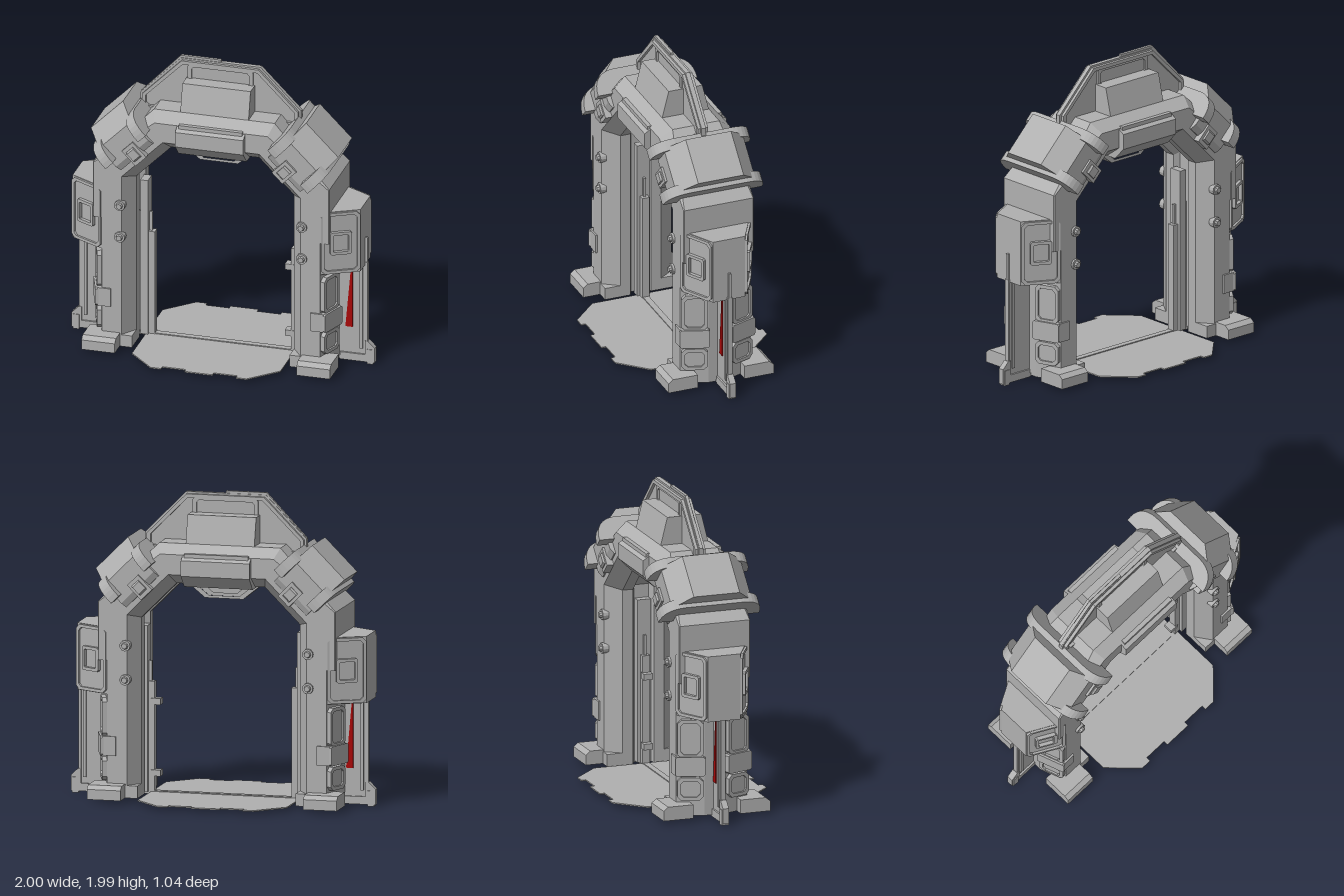
import * as THREE from 'three';

const grey = new THREE.MeshStandardMaterial({ color: 0xb0b0b0 });
grey.name = 'grey metal';
const red = new THREE.MeshStandardMaterial({ color: 0xa80808 });
red.name = 'red paint';

const ALL = [[1, 1], [-1, 1], [1, -1], [-1, -1]];
const SIDES = [[1, 1], [-1, 1]];
const FACES = [[1, 1], [1, -1]];
const ONE = [[1, 1]];
const TURNED = [[1, 1], [-1, -1]];

// Flat shaded copy, reflected in x and/or z with its winding kept outward
function mirrored(geo, sx, sz) {
  const g = geo.index ? geo.toNonIndexed() : geo.clone();
  g.scale(sx, 1, sz);
  const p = g.attributes.position;
  if (sx * sz < 0) {
    const a = new THREE.Vector3(), b = new THREE.Vector3();
    for (let i = 0; i < p.count; i += 3) {
      a.fromBufferAttribute(p, i + 1);
      b.fromBufferAttribute(p, i + 2);
      p.setXYZ(i + 1, b.x, b.y, b.z);
      p.setXYZ(i + 2, a.x, a.y, a.z);
    }
  }
  g.computeVertexNormals();
  return g;
}

const toShape = pts => new THREE.Shape(pts.map(p => new THREE.Vector2(p[0], p[1])));
const symmetric = pts => [...pts, ...pts.map(([x, y]) => [-x, y]).reverse()];

// Plate cut from an outline, centred on z = 0
function plate(outline, depth, hole) {
  const s = Array.isArray(outline) ? toShape(outline) : outline;
  if (hole) s.holes.push(toShape(hole));
  const g = new THREE.ExtrudeGeometry(s, { depth, bevelEnabled: false, curveSegments: 8 });
  return g.translate(0, 0, -depth / 2);
}

const box = (x0, x1, y0, y1, z0, z1) =>
  new THREE.BoxGeometry(x1 - x0, y1 - y0, z1 - z0).translate((x0 + x1) / 2, (y0 + y1) / 2, (z0 + z1) / 2);

// Rectangle with cut corners
function cutRect(w, h, c) {
  const x = w / 2, y = h / 2;
  return [[-x + c, -y], [x - c, -y], [x, -y + c], [x, y - c], [x - c, y], [-x + c, y], [-x, y - c], [-x, -y + c]];
}

// Arch: one cross-section swept along the mitred path
function archGeometry() {
  const ring = (a, b) => {
    const h = [[0.04, 0], [0.04, 0.05], [0, 0.07], [0, 0.14], [0.07, 0.24], a, b];
    return [...h, ...h.slice(1).reverse().map(([d, z]) => [d, -z])];
  };
  const low = ring([0.2, 0.24], [0.26, 0.07]);
  const high = ring([0.255, 0.24], [0.26, 0.235]);
  const top = ring([0.2, 0.24], [0.26, 0.16]);
  const side = [
    [low, d => [0.52 + d, 0.02]],
    [low, d => [0.52 + d, 0.9]],
    [high, d => [0.52 + d, 0.9]],
    [high, d => [0.52 + d, 1.17 + 0.414 * d]],
    [top, d => [0.29 + 0.414 * d, 1.4 + d]],
  ];
  const rows = side.map(([r, f]) => r.map(([d, z]) => [...f(d), z]));
  rows.push(...rows.slice().reverse().map(r => r.map(([x, y, z]) => [-x, y, z])));
  const n = low.length, idx = [];
  for (let i = 0; i < rows.length - 1; i++) {
    for (let j = 0; j < n; j++) {
      const a = i * n + j, b = i * n + (j + 1) % n, c = a + n, d = b + n;
      idx.push(a, b, d, a, d, c);
    }
  }
  const g = new THREE.BufferGeometry();
  g.setAttribute('position', new THREE.Float32BufferAttribute(rows.flat(2), 3));
  g.setIndex(idx);
  return g;
}

export function createModel() {
  const model = new THREE.Group();
  model.name = 'gateway';
  const arch = new THREE.Group();
  arch.name = 'archway';
  arch.position.x = -0.017;
  model.add(arch);

  function put(parent, geo, name, signs = ONE, mat = grey) {
    for (const [sx, sz] of signs) {
      const m = new THREE.Mesh(mirrored(geo, sx, sz), mat);
      m.name = name;
      parent.add(m);
    }
  }

  put(arch, archGeometry(), 'archFrame');

  // Shoulder clamps, placed across the slanted arms
  const r = Math.SQRT1_2;
  const basis = new THREE.Matrix4().makeBasis(
    new THREE.Vector3(0, 0, 1), new THREE.Vector3(r, r, 0), new THREE.Vector3(-r, r, 0));
  const onArm = (g, w, v = 0, z = 0) => g.translate(z, v, w).applyMatrix4(basis);
  put(arch, onArm(plate(symmetric([[0.25, 1.3], [0.27, 1.34], [0.27, 1.5], [0.155, 1.62]]), 0.3), 0.615),
    'shoulderClamp', SIDES);
  const flange = new THREE.Shape();
  flange.moveTo(-0.2, 1.54);
  flange.quadraticCurveTo(-0.34, 1.53, -0.34, 1.38);
  flange.lineTo(0.34, 1.38);
  flange.quadraticCurveTo(0.34, 1.53, 0.2, 1.54);
  for (const w of [0.472, 0.776]) put(arch, onArm(plate(flange, 0.07), w), 'clampFlange', SIDES);
  put(arch, onArm(new THREE.BoxGeometry(0.06, 0.13, 0.1), 0.63, 1.33, 0.255), 'clampClip', ALL);
  put(arch, onArm(plate(cutRect(0.03, 0.08, 0.01), 0.06), 0.63, 1.33, 0.285), 'clampClipPad', ALL);

  // Lintel housing over the middle of the arch
  const housing = symmetric([[0.2, 1.39], [0.28, 1.47], [0.28, 1.57], [0.2, 1.62], [0.165, 1.64], [0.115, 1.84]]);
  put(arch, plate(housing, 0.45).rotateY(Math.PI / 2), 'lintelHousing');
  put(arch, box(-0.21, 0.21, 1.58, 1.61, 0.2, 0.255), 'housingRail', FACES);

  // Crest standing on the lintel
  const crest = symmetric([[0.53, 1.6], [0.53, 1.7], [0.262, 1.97]]);
  const crestIn = symmetric([[0.49, 1.62], [0.49, 1.69], [0.245, 1.935]]);
  put(arch, plate(crest, 0.03), 'crestPanel');
  put(arch, plate(symmetric([[0.515, 1.6], [0.515, 1.695], [0.255, 1.958]]), 0.07, crestIn), 'crestRim');
  put(arch, plate([[-0.53, 1.68], [-0.53, 1.705], [-0.265, 1.985], [0, 1.985], [0, 1.95], [-0.25, 1.95]], 0.02),
    'crestEdge');
  put(arch, plate(cutRect(0.43, 0.14, 0.02), 0.055, cutRect(0.38, 0.09, 0.015)).translate(0, 1.875, 0), 'crestWindow');

  // Keystone hanging below the lintel
  const keystone = (s, top) => symmetric([[0.23 * s, top], [0.23 * s, 1.385], [0.125 * s, 1.385 - 0.085 * s]]);
  put(arch, plate(keystone(1, 1.42), 0.12, keystone(0.8, 1.4)), 'keystoneRim');
  put(arch, plate(keystone(0.85, 1.42), 0.07, keystone(0.62, 1.4)), 'keystoneInnerRim');
  put(arch, plate(keystone(0.8, 1.4), 0.03), 'keystonePanel');

  // Side boxes with slanted faces
  const boxPlan = symmetric([[0.235, 0.7], [0.235, 0.72], [0.11, 0.95]]).map(([z, x]) => [x, z]);
  const sideBox = plate(boxPlan, 0.43).rotateX(-Math.PI / 2).translate(0, 0.895, 0);
  put(arch, sideBox, 'sideBox', SIDES);
  const onBox = (g, y, out) => g.translate(0, 0, out).rotateY(0.498).translate(0.835, y, 0.1725);
  put(arch, onBox(plate(cutRect(0.255, 0.42, 0.025), 0.02, cutRect(0.215, 0.38, 0.02)), 0.895, 0.004), 'sideBoxRim', ALL);
  put(arch, onBox(plate(cutRect(0.14, 0.155, 0.01), 0.03, cutRect(0.1, 0.115, 0.005)), 0.895, 0.008), 'sideBoxWindow', ALL);

  // Lower panels and clips on the cut outer corners
  const onCorner = (g, y, out) => g.translate(0, 0, out).rotateY(1.231).translate(0.75, y, 0.155);
  for (const [y, h] of [[0.53, 0.25], [0.2, 0.15]]) {
    put(arch, onCorner(plate(cutRect(0.165, h, 0.025), 0.04, cutRect(0.12, h - 0.045, 0.018)), y, 0.01), 'cornerPanelRim', ALL);
    put(arch, onCorner(plate(cutRect(0.13, h - 0.035, 0.018), 0.03), y, 0.003), 'cornerPanel', ALL);
  }
  put(arch, onCorner(plate(cutRect(0.19, 0.125, 0.01), 0.05), 0.35, 0.018), 'cornerClip', ALL);
  put(arch, box(0.66, 0.745, 0.288, 0.412, 0.2, 0.252), 'cornerClipEnd', ALL);

  // Bolts on the pillar faces
  for (const y of [0.78, 1]) {
    put(arch, new THREE.CylinderGeometry(0.035, 0.035, 0.04, 12).rotateX(Math.PI / 2).translate(0.6, y, 0.235), 'bolt', ALL);
    put(arch, new THREE.CylinderGeometry(0.018, 0.024, 0.02, 8).rotateX(Math.PI / 2).translate(0.6, y, 0.262), 'boltHead', ALL);
  }

  // Feet, front and back of each pillar
  const foot = [[-0.16, 0.02], [-0.36, 0.02], [-0.36, 0.085], [-0.33, 0.11], [-0.16, 0.11]];
  put(arch, plate(foot, 0.22).rotateY(Math.PI / 2).translate(0.71, 0, 0), 'foot', ALL);
  put(arch, box(0.52, 0.64, 0.02, 0.1, 0.14, 0.245), 'footInner', ALL);

  // Sliding panels passing through the pillars
  put(model, plate([[0.47, 0.02], [0.95, 0.02], [0.95, 0.87], [0.47, 0.87]], 0.016), 'slidingPanel', SIDES);
  put(model, box(0.45, 0.49, 0.03, 0.74, -0.025, 0.025), 'innerPost', SIDES);
  put(model, box(0.49, 0.54, 0.03, 1.1, -0.045, 0.045), 'innerTrack', SIDES);
  put(model, box(0.9, 0.92, 0.1, 0.7, -0.02, 0.02), 'panelRib', SIDES);
  put(model, box(0.935, 0.952, 0.1, 0.7, -0.015, 0.015), 'panelEdge', SIDES);
  put(model, plate([[0.77, 0.01], [1, 0.01], [1, 0.11], [0.955, 0.155], [0.935, 0.155], [0.935, 0.06], [0.77, 0.06]], 0.04),
    'panelShoe', SIDES);
  put(model, box(0.95, 0.99, 0, 0.1, -0.025, 0.025), 'panelShoeEnd', SIDES);
  for (const y of [0.15, 0.61]) put(model, box(0.41, 0.47, y - 0.02, y + 0.02, -0.03, 0.03), 'innerStop');

  // Red wedge painted on the sliding panels
  put(model, plate([[0.805, 0.24], [0.852, 0.24], [0.852, 0.69], [0.845, 0.69]], 0.006).translate(0, 0, 0.012),
    'redWedge', TURNED, red);

  // Floor plate with notched edges, and the door track
  const edge = [[0.49, 0.345], [0.317, 0.52], [0.247, 0.52], [0.247, 0.49], [0.092, 0.49], [0.092, 0.52]];
  const front = symmetric(edge);
  const floor = [...front, ...front.map(([x, z]) => [-x, -z])];
  put(arch, plate(floor, 0.008).rotateX(-Math.PI / 2).translate(0, 0.025, 0), 'floorPlate');
  put(model, box(-0.98, 0.98, 0.015, 0.035, -0.02, 0.02), 'doorTrack');
  return model;
}
